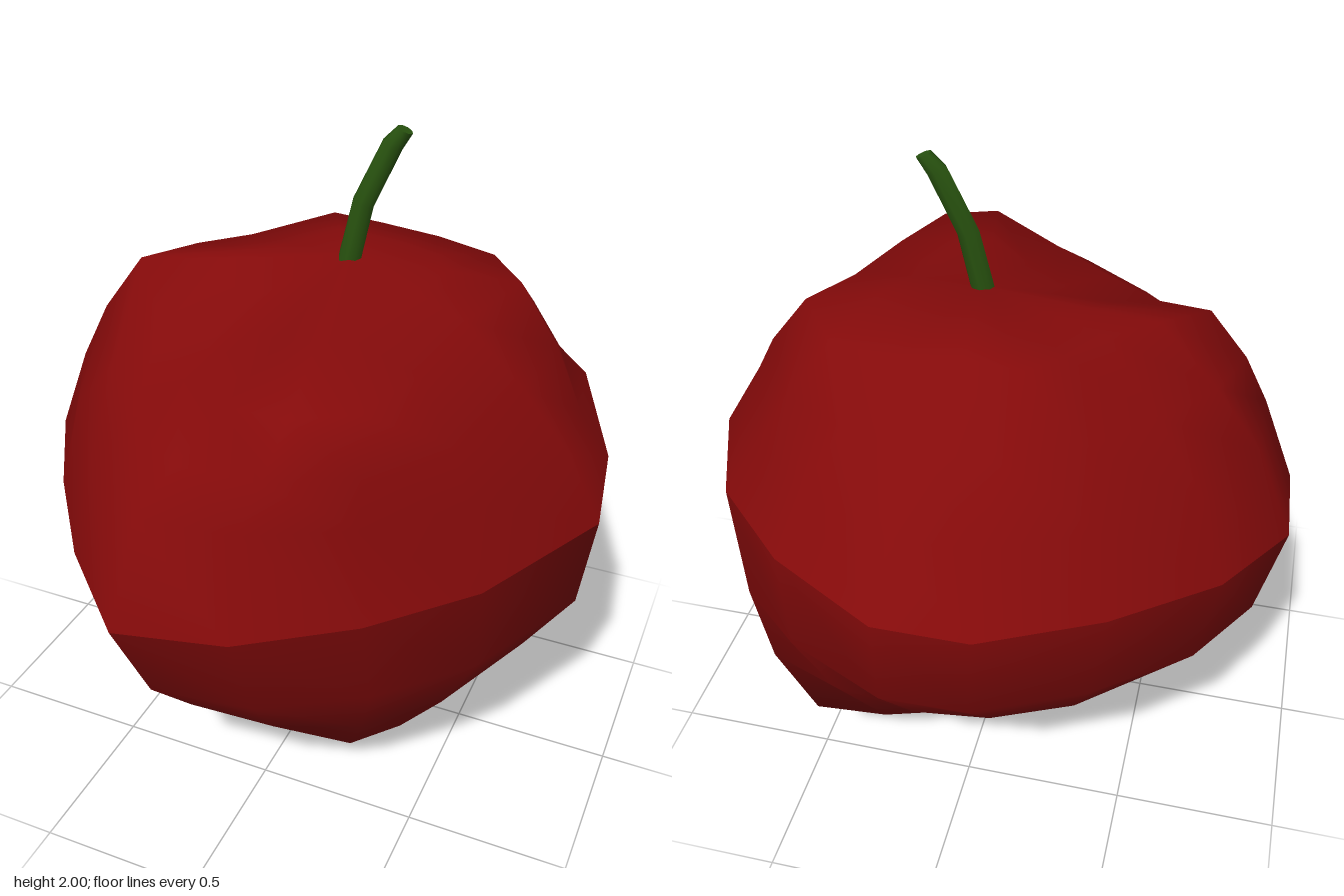
import * as THREE from 'three';
import { mergeVertices, toCreasedNormals } from 'three/addons/utils/BufferGeometryUtils.js';

// Uneven outline of the fruit at its widest, seen from above: x, z from back round by +x to front
const OUTLINE = [
  [-0.14, -0.94], [0.13, -0.95], [0.46, -0.77], [0.69, -0.56],
  [0.86, -0.16], [0.90, 0.11], [0.67, 0.48], [0.41, 0.71],
  [0.10, 0.89], [-0.23, 0.95], [-0.50, 0.70], [-0.72, 0.42],
  [-0.90, 0.13], [-0.91, -0.20], [-0.74, -0.50], [-0.46, -0.75],
];

// Lopsided shoulder rim (x, y, z), low at the front left and cut in at the back left
const SHOULDER = [
  [-0.16, 1.57, -0.44], [0.01, 1.57, -0.42], [0.20, 1.55, -0.43], [0.40, 1.54, -0.38],
  [0.54, 1.55, -0.19], [0.45, 1.52, 0.06], [0.42, 1.48, 0.34], [0.34, 1.47, 0.58],
  [0.18, 1.46, 0.66], [-0.05, 1.40, 0.57], [-0.24, 1.38, 0.45], [-0.42, 1.42, 0.26],
  [-0.60, 1.53, 0.05], [-0.47, 1.55, -0.08], [-0.34, 1.555, -0.20], [-0.25, 1.56, -0.33],
];

// Edge of the underside (x, y, z), with corners at the back right and front left
const BASE = [
  [-0.10, 0.15, -0.36], [0.08, 0.165, -0.42], [0.27, 0.22, -0.53], [0.46, 0.31, -0.62],
  [0.56, 0.27, -0.22], [0.51, 0.235, 0.08], [0.38, 0.14, 0.27], [0.25, 0.11, 0.38],
  [0.07, 0.12, 0.41], [-0.13, 0.16, 0.43], [-0.39, 0.20, 0.42], [-0.52, 0.20, 0.28],
  [-0.54, 0.20, 0.10], [-0.50, 0.22, -0.08], [-0.40, 0.21, -0.20], [-0.25, 0.15, -0.30],
];

const points = (list) => list.map((p) => new THREE.Vector3(...p));

// One tilted ring fitted between left, right, back and front limits; round = 1 makes it an ellipse
function ring(x0, x1, z0, z1, y, tiltX, tiltZ, round) {
  return OUTLINE.map(([ox, oz]) => {
    const u = ox / 0.91, v = oz / 0.95;
    const k = 1 + (1 / Math.hypot(u, v) - 1) * round;
    const x = (x0 + x1) / 2 + k * u * (x1 - x0) / 2;
    const z = (z0 + z1) / 2 + k * v * (z1 - z0) / 2;
    return new THREE.Vector3(x, y + tiltX * x + tiltZ * z, z);
  });
}

// Ring part way between two others (the second may be a single point), swollen sideways and lowered
function between(a, b, t, swell, drop) {
  return a.map((p, i) => {
    const q = p.clone().lerp(b[i % b.length], t);
    return q.set(q.x * swell, q.y - drop, q.z * swell);
  });
}

// Skin over rings listed from top to bottom; a ring of one point closes an end
function skin(rings) {
  const pos = [];
  const tri = (a, b, c) => {
    if (a !== b && b !== c && c !== a) for (const p of [a, b, c]) pos.push(p.x, p.y, p.z);
  };
  for (let r = 0; r < rings.length - 1; r++) {
    const up = rings[r], down = rings[r + 1];
    const n = Math.max(up.length, down.length);
    for (let c = 0; c < n; c++) {
      const a = up[c % up.length], b = up[(c + 1) % up.length];
      const d = down[c % down.length], e = down[(c + 1) % down.length];
      tri(a, b, d);
      tri(b, e, d);
    }
  }
  const geo = new THREE.BufferGeometry();
  geo.setAttribute('position', new THREE.Float32BufferAttribute(pos, 3));
  return geo;
}

function smooth(geo) {
  const merged = mergeVertices(geo);
  merged.computeVertexNormals();
  return merged;
}

export function createModel() {
  const red = new THREE.MeshStandardMaterial({ color: 0x840a0a });
  red.name = 'apple red';
  const green = new THREE.MeshStandardMaterial({ color: 0x28520f });
  green.name = 'stem green';

  const model = new THREE.Group();
  model.name = 'apple';
  const add = (name, geo, mat) => {
    const mesh = new THREE.Mesh(geo, mat);
    mesh.name = name;
    model.add(mesh);
  };

  // Seam round the widest part, raised at the back right
  const equator = ring(-0.91, 0.91, -0.95, 0.95, 0.96, 0.03, -0.105, 0);
  for (const p of equator) {
    p.y += 0.075 * Math.exp(-((p.x - 0.75) ** 2 + (p.z + 0.4) ** 2) / 0.15);
  }

  // Top, with a shallow valley running to the front left of the stem
  const apex = [new THREE.Vector3(0.04, 1.6, -0.08)];
  const shoulder = points(SHOULDER);
  const inner = between(shoulder, apex, 0.42, 1, 0);
  for (const p of inner) {
    p.y -= 0.03 * Math.exp(-((p.x + 0.2) ** 2 + (p.z - 0.18) ** 2) / 0.04);
  }

  // Upper skin: apex, shoulder and slope down to the hard seam
  const slope = ring(-0.80, 0.80, -0.80, 0.83, 1.20, 0, -0.05, 0.3);
  add('upperSkin', smooth(skin([
    apex, inner, shoulder, between(shoulder, slope, 0.5, 1.03, 0), slope, equator,
  ])), red);

  // Lower skin: band under the seam, then the taper to an off-centre tip
  const band = ring(-0.84, 0.86, -0.93, 0.82, 0.65, 0, -0.13, 0.2);
  const base = points(BASE);
  const tip = [new THREE.Vector3(0.16, 0, 0.2)];
  add('lowerSkin', smooth(skin([
    equator, band, between(band, base, 0.5, 1.04, 0), base, between(base, tip, 0.5, 1, 0.02), tip,
  ])), red);

  // Bent, tapering stem: x, y, z, radius, lean from tip to foot
  const joints = [
    [0.197, 1.99, -0.098, 0.024, 0.42],
    [0.162, 1.945, -0.095, 0.031, 0.42],
    [0.08, 1.765, -0.086, 0.033, 0.32],
    [0.045, 1.6, -0.076, 0.035, 0.22],
    [0.03, 1.52, -0.072, 0.035, 0.2],
  ];
  const stemRings = joints.map(([x, y, z, r, lean]) => Array.from({ length: 8 }, (_, i) => {
    const t = i * Math.PI / 4;
    const s = Math.cos(t) * r;
    return new THREE.Vector3(
      x + s * Math.cos(lean), y - s * Math.sin(lean), z + Math.sin(t) * r * 0.85);
  }));
  const cap = ([x, y, z]) => [new THREE.Vector3(x, y, z)];
  add('stem', toCreasedNormals(
    skin([cap(joints[0]), ...stemRings, cap(joints[4])]),
    THREE.MathUtils.degToRad(50)), green);

  return model;
}
